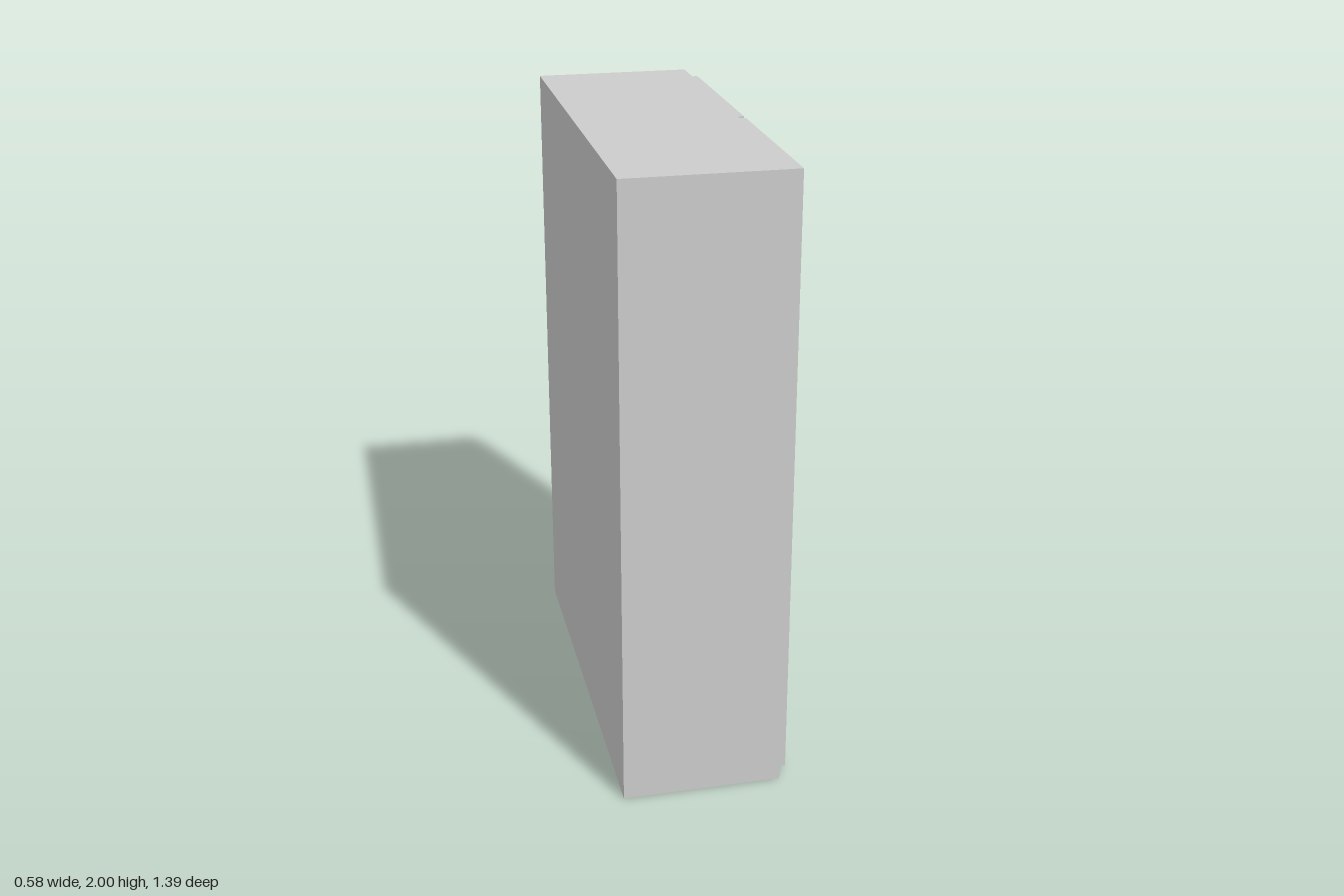
import * as THREE from 'three';

export function createModel() {
  const model = new THREE.Group();
  model.name = 'wardrobe';
  const grey = new THREE.MeshStandardMaterial({ color: 0xcccccc });

  // Box given by its minimum and maximum corners
  const box = (name, min, max) => {
    const size = max.map((v, i) => v - min[i]);
    const mesh = new THREE.Mesh(new THREE.BoxGeometry(...size), grey);
    mesh.position.set(...max.map((v, i) => (v + min[i]) / 2));
    mesh.name = name;
    model.add(mesh);
  };

  box('cabinet', [-0.2925, 0, -0.693], [0.215, 2, 0.693]);

  // Two doors on the +x side, each with a knob that tilts upwards
  const tilt = THREE.MathUtils.degToRad(20);
  const axis = new THREE.Vector3(Math.cos(tilt), Math.sin(tilt), 0);
  const knobLength = 0.06;
  const doors = [
    { side: 'front', z0: 0.02, z1: 0.648, knobZ: 0.095 },
    { side: 'rear', z0: -0.63, z1: -0.002, knobZ: -0.054 },
  ];
  for (const { side, z0, z1, knobZ } of doors) {
    box(side + 'Door', [0.215, 0.015, z0], [0.247, 1.988, z1]);

    const knob = new THREE.Mesh(new THREE.CylinderGeometry(0.0275, 0.0275, knobLength, 16), grey);
    knob.name = side + 'Knob';
    knob.quaternion.setFromUnitVectors(new THREE.Vector3(0, 1, 0), axis);
    knob.position.set(0.283, 1.108, knobZ).addScaledVector(axis, -knobLength / 2);
    model.add(knob);
  }
  return model;
}
